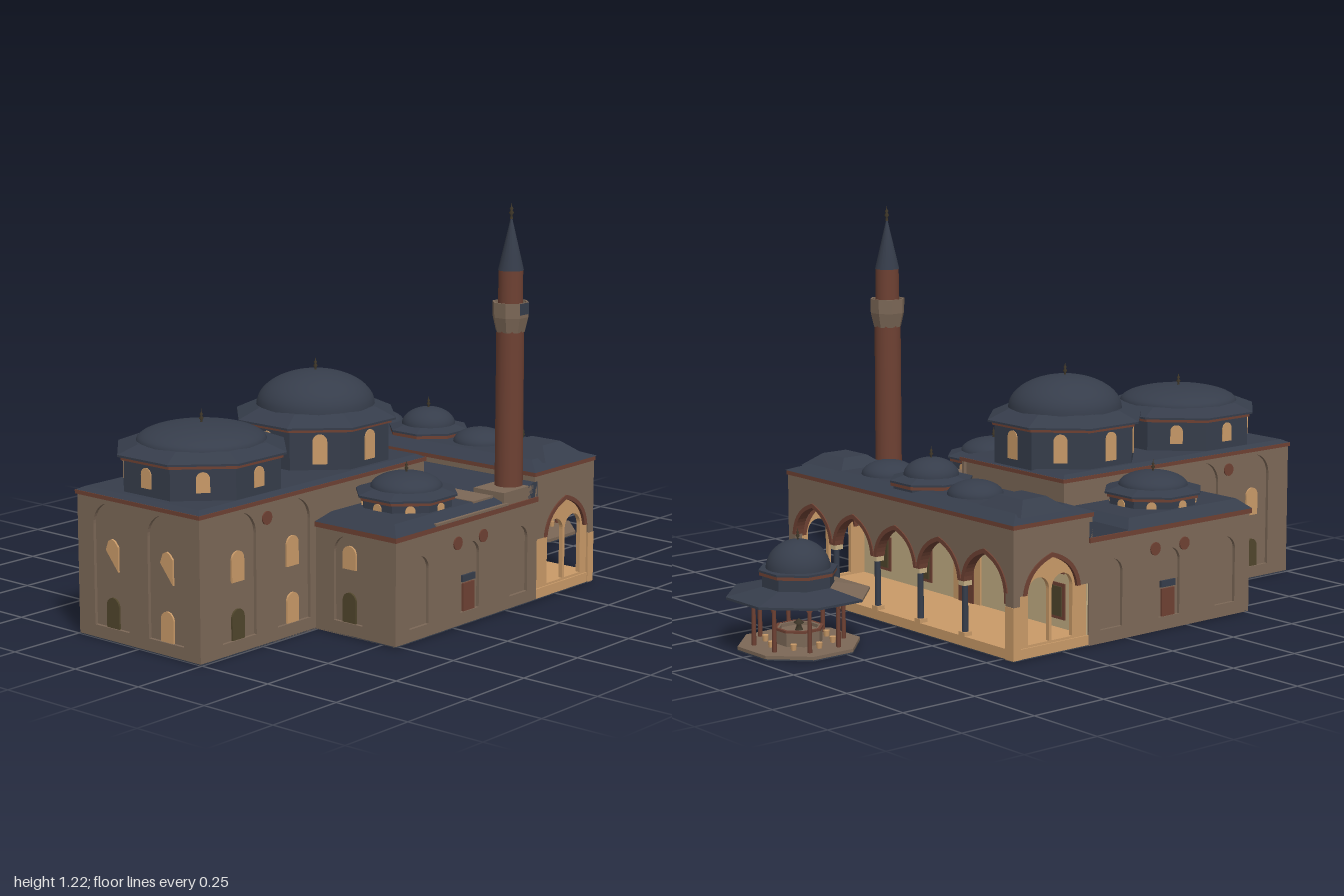
import * as THREE from 'three';

const mat = (name, color, side = THREE.FrontSide) => Object.assign(new THREE.MeshStandardMaterial({ color, side }), { name });

export function createModel() {
  const root = new THREE.Group();
  const M = {
    wall: mat('brown stone', 0x7c6857), slate: mat('lead roof', 0x363d4b),
    brick: mat('red brick', 0x6e4133), tan: mat('light stone', 0xc99a68),
    olive: mat('dark glass', 0x50462c), cream: mat('cream plaster', 0xc4ae84),
    bronze: mat('bronze', 0x40382a),
  };

  const add = (parent, name, geo, m, x = 0, y = 0, z = 0) => {
    const mesh = new THREE.Mesh(geo, m);
    mesh.name = name;
    mesh.position.set(x, y, z);
    parent.add(mesh);
    return mesh;
  };
  const faceted = (geo) => {
    const g = geo.toNonIndexed();
    g.computeVertexNormals();
    return g;
  };
  // box given by its limits
  const box = (parent, name, m, x0, x1, y0, y1, z0, z1) =>
    add(parent, name, new THREE.BoxGeometry(x1 - x0, y1 - y0, z1 - z0), m, (x0 + x1) / 2, (y0 + y1) / 2, (z0 + z1) / 2);
  // hipped roof: a box whose top is drawn in by "inset"
  const hip = (name, x0, x1, y0, y1, z0, z1, inset) => {
    const w = x1 - x0, d = z1 - z0, g = new THREE.BoxGeometry(w, y1 - y0, d), p = g.attributes.position;
    for (let i = 0; i < p.count; i++) if (p.getY(i) > 0) {
      p.setX(i, p.getX(i) * (1 - 2 * inset / w));
      p.setZ(i, p.getZ(i) * (1 - 2 * inset / d));
    }
    return add(root, name, faceted(g), M.slate, (x0 + x1) / 2, (y0 + y1) / 2, (z0 + z1) / 2);
  };
  const lathe = (pts, n, start = 0, len = Math.PI * 2) =>
    new THREE.LatheGeometry(pts.map(([r, y]) => new THREE.Vector2(r, y)), n, start, len);
  // octagon with flat sides to the axes; radii are measured to the flats
  const K = Math.cos(Math.PI / 8);
  const octagon = (pts, first = 0, sides = 8) =>
    faceted(lathe(pts.map(([r, y]) => [r / K, y]), sides, Math.PI / 8 + first * Math.PI / 4, sides * Math.PI / 4));
  const cap = (r, y0, y1) => lathe(Array.from({ length: 13 }, (_, i) => {
    const a = i / 12 * Math.PI / 2;
    return [i === 12 ? 0 : r * Math.cos(a), y0 + (y1 - y0) * Math.sin(a)];
  }), 32);
  const finial = (parent, x, y, z, s = 1) => add(parent, 'finial',
    lathe([[.005, -.005], [.003, .006], [.008, .013], [.003, .02], [.006, .026], [.002, .031], [0, .044]].map(p => [p[0] * s, p[1] * s]), 10), M.bronze, x, y, z);

  const arch = (s, cx, w, y0, y1) => {
    const r = w / 2, sp = y1 - r;
    s.moveTo(cx - r, y0);
    s.lineTo(cx + r, y0);
    s.lineTo(cx + r, sp);
    s.absarc(cx, sp, r, 0, Math.PI, false);
    s.lineTo(cx - r, y0);
    return s;
  };
  const extrude = (s, depth) => new THREE.ExtrudeGeometry(s, { depth, bevelEnabled: false, curveSegments: 10 });
  const archPlate = (parent, name, m, cx, w, y0, y1, z, depth = .006) =>
    add(parent, name, extrude(arch(new THREE.Shape(), cx, w, y0, y1), depth), m, 0, 0, z);
  const rect = (a, b, y0, y1) => new THREE.Shape([[a, y0], [b, y0], [b, y1], [a, y1]].map(p => new THREE.Vector2(...p)));
  const frame = (name, x, z, turn) => {
    const g = new THREE.Group();
    g.name = name;
    g.position.set(x, 0, z);
    g.rotation.y = turn;
    root.add(g);
    return g;
  };
  // wall skin pierced by shallow arched niches: [u, width, top]
  const facade = (g, a, b, h, niches) => {
    const s = rect(a, b, 0, h);
    for (const [u, w, top] of niches) s.holes.push(arch(new THREE.Path(), u, w, .04, top));
    add(g, 'nichedWall', extrude(s, .01), M.wall, 0, 0, -.01);
  };
  const window_ = (g, u, y0, y1, m, w = .05) => archPlate(g, 'window', m, u, w, y0, y1, -.01);
  // half-open shutter of light inside an upper window
  const slantWindow = (g, u) => {
    const s = new THREE.Shape([[-.025, .06], [.025, 0], [.025, .075], [.012, .09], [0, .095], [-.014, .088]].map(p => new THREE.Vector2(u + p[0], .21 + p[1])));
    add(g, 'upperWindow', extrude(s, .006), M.tan, 0, 0, -.01);
  };
  const medallion = (g, u, y) =>
    add(g, 'medallion', new THREE.CylinderGeometry(.02, .02, .008, 16).rotateX(Math.PI / 2), M.brick, u, y, 0);

  // masonry cores and dark underside
  box(root, 'hallCore', M.wall, -.235, .235, .003, .425, .03, .99);
  box(root, 'wingCore', M.wall, -.54, .54, .003, .32, -.15, .505);
  box(root, 'underside', M.slate, -.245, .245, 0, .003, .515, 1);
  box(root, 'underside', M.slate, -.55, .55, 0, .003, -.44, .515);

  // front walls
  const front = frame('hallFront', 0, 1, 0);
  facade(front, -.245, .245, .42, [[-.11, .14, .41], [.11, .14, .41]]);
  for (const s of [-1, 1]) {
    slantWindow(front, s * .11);
    window_(front, s * .11, .04, .13, s < 0 ? M.olive : M.tan);
    const wf = frame('wingFront', 0, .515, 0);
    facade(wf, s > 0 ? .245 : -.55, s > 0 ? .55 : -.245, .31, [[s * .37, .11, .3]]);
    window_(wf, s * .37, .2, .27, s < 0 ? M.olive : M.tan);
    window_(wf, s * .37, .04, .13, s < 0 ? M.tan : M.olive);
  }

  // side walls, local u runs along -z on the +x side and +z on the other
  for (const s of [-1, 1]) {
    const span = (z0, z1) => [-s * z0, -s * z1].sort((p, q) => p - q);
    const hall = frame('hallSide', s * .245, 0, s * Math.PI / 2);
    facade(hall, ...span(.505, 1), .42, [[-s * .84, .14, .41], [-s * .61, .14, .41]]);
    for (const z of [.84, .61]) {
      window_(hall, -s * z, .21, .3, M.tan);
      window_(hall, -s * z, .04, .13, z > .7 ? M.olive : M.tan);
    }
    medallion(hall, -s * .725, .375);
    box(root, 'hallUpperWall', M.wall, s * .24 - .005, s * .24 + .005, .3, .425, .02, .505);

    const wing = frame('wingSide', s * .55, 0, s * Math.PI / 2);
    facade(wing, ...span(-.15, .515), .31, [.41, .175, -.06].map(z => [-s * z, .086, .25]));
    box(wing, 'sideDoor', M.brick, -s * .175 - .026, -s * .175 + .026, .04, .125, -.01, -.003);
    box(wing, 'doorLintel', M.slate, -s * .175 - .03, -s * .175 + .03, .13, .15, -.01, -.003);
    for (const z of [.115, .235]) medallion(wing, -s * z, .255);

    // wing cornice and roof
    const x0 = s > 0 ? .245 : -.555, x1 = s > 0 ? .555 : -.245;
    box(root, 'wingCornice', M.brick, x0, x1, .31, .325, -.15, .52);
    hip('wingRoof', x0, x1, .325, .355, .0, .52, .035);
  }
  box(root, 'barePatch', M.wall, .3, .525, .35, .357, .035, .13);
  box(root, 'barePatch', M.wall, .535, .557, .326, .333, 0, .34);

  // hall cornice and roof
  box(root, 'hallCornice', M.brick, -.25, .25, .42, .432, .015, 1.005);
  hip('hallRoof', -.248, .248, .432, .442, .017, 1.003, .02);

  // lean-to roof between hall and porch
  const lean = new THREE.Shape([[-.03, .32], [.15, .32], [.15, .372], [.13, .372]].map(p => new THREE.Vector2(...p)));
  add(root, 'leanToRoof', extrude(lean, 1.1).rotateY(Math.PI / 2), M.slate, -.55);

  // octagonal drum, brick cornice, eave, dome and finial
  const domeUnit = (name, x, z, y0, y1, ap, eave, r, base, top, win) => {
    const g = frame(name, x, z, 0);
    add(g, 'drum', octagon([[ap, y0], [ap, y1]]), M.slate);
    add(g, 'drumCornice', octagon([[ap, y1], [ap + .008, y1], [ap + .008, y1 + .01]]), M.brick);
    add(g, 'eave', octagon([[ap, y1 + .008], [eave, y1 + .01], [eave, y1 + .016], [r * .97, base + .003], [0, base + .003]]), M.slate);
    add(g, 'dome', cap(r, base, top), M.slate);
    finial(g, 0, top, 0, r > .15 ? .9 : .8);
    if (win) for (let i = 0; i < 8; i++) {
      const f = new THREE.Group();
      f.name = 'drumWindow';
      f.rotation.y = i * Math.PI / 4;
      archPlate(f, 'window', M.tan, 0, win[0], win[1], win[2], ap - .003);
      g.add(f);
    }
  };
  domeUnit('frontDome', 0, .735, .435, .535, .225, .242, .19, .572, .622, [.04, .465, .525]);
  domeUnit('mainDome', 0, .24, .435, .557, .215, .236, .18, .6, .705, [.044, .46, .55]);
  for (const s of [-1, 1]) domeUnit('wingDome', s * .38, .265, .33, .378, .13, .145, .107, .405, .45, [.03, .355, .376]);
  domeUnit('porchDome', 0, -.3, .4, .425, .11, .12, .085, .45, .505);

  // porch arcade: wall over a row of pointed arches
  const pointed = (s, cx, r, sp, rise) => {
    s.lineTo(cx + r, sp);
    s.quadraticCurveTo(cx + r * .9, sp + rise * .75, cx, sp + rise);
    s.quadraticCurveTo(cx - r * .9, sp + rise * .75, cx - r, sp);
  };
  const arcade = (a, b, centres, r, sp, rise, foot) => {
    const s = new THREE.Shape();
    s.moveTo(a, foot);
    s.lineTo(a, .39);
    s.lineTo(b, .39);
    s.lineTo(b, foot);
    const last = centres[0] + r;
    s.lineTo(last, foot);
    for (const c of centres) pointed(s, c, r, sp, rise);
    s.lineTo(centres[centres.length - 1] - r, foot);
    return extrude(s, .025);
  };
  const archRing = (g, c, r, sp, rise, z, depth) => {
    const s = new THREE.Shape(), t = .014;
    s.moveTo(c + r + t, sp);
    s.quadraticCurveTo(c + (r + t) * .9, sp + (rise + t) * .75, c, sp + rise + t);
    s.quadraticCurveTo(c - (r + t) * .9, sp + (rise + t) * .75, c - r - t, sp);
    s.lineTo(c - r, sp);
    s.quadraticCurveTo(c - r * .9, sp + rise * .75, c, sp + rise);
    s.quadraticCurveTo(c + r * .9, sp + rise * .75, c + r, sp);
    add(g, 'archRing', extrude(s, depth), M.brick, 0, 0, z);
  };
  const back = frame('porchFront', 0, -.44, Math.PI);
  const bays = [.42, .21, 0, -.21, -.42];
  add(back, 'arcadeWall', arcade(-.55, .55, bays, .095, .2, .1, 0), M.wall, 0, 0, -.025);
  for (const c of bays) archRing(back, c, .091, .2, .1, -.029, .033);
  for (const c of [-.315, -.105, .105, .315]) {
    add(back, 'column', new THREE.CylinderGeometry(.009, .01, .16, 12), M.slate, c, .115, -.013);
    box(back, 'capital', M.cream, c - .013, c + .013, .185, .2, -.028, .001);
    box(back, 'columnBase', M.tan, c - .014, c + .014, .03, .045, -.028, 0);
  }
  for (const s of [-1, 1]) {
    box(back, 'pierFoot', M.tan, s * .533 - .018, s * .533 + .018, .003, .16, -.027, .002);
    const side = frame('porchSide', s * .55, -.295, s * Math.PI / 2);
    add(side, 'upperWall', arcade(-.145, .145, [0], .1, .19, .1, .19), M.wall, 0, 0, -.025);
    archRing(side, 0, .096, .19, .1, -.027, .031);
    const screen = rect(-.144, .144, .003, .3);
    for (const c of [-.045, .045]) screen.holes.push(arch(new THREE.Path(), c, .08, .04, .235));
    add(side, 'archScreen', extrude(screen, .014), M.tan, 0, 0, -.02);
  }
  box(root, 'porchFloor', M.tan, -.549, .549, .003, .033, -.439, -.15);

  // porch inner wall with door and windows
  const inner = frame('porchInnerWall', 0, -.15, Math.PI);
  box(inner, 'plaster', M.cream, -.545, .545, .03, .39, 0, .006);
  archPlate(inner, 'doorSurround', M.tan, 0, .13, .033, .27, .006, .006);
  box(inner, 'door', M.brick, -.035, .035, .033, .17, .01, .016);
  for (const x of [-.42, -.21, .21, .42]) {
    box(inner, 'windowFrame', M.brick, x - .034, x + .034, .06, .17, .004, .01);
    box(inner, 'window', M.olive, x - .023, x + .023, .07, .16, .008, .014);
    archPlate(inner, 'lunette', M.brick, x, .06, .2, .25, .005, .006);
  }

  // porch roof
  box(root, 'porchCornice', M.brick, -.553, .553, .388, .402, -.443, -.135);
  box(root, 'porchBackWall', M.wall, -.55, .55, .32, .39, -.15, -.138);
  hip('porchRoof', -.557, .557, .402, .424, -.447, -.13, .06);
  for (const s of [-1, 1]) {
    hip('endHip', s * .43 - .105, s * .43 + .105, .415, .455, -.4, -.21, .05);
    add(root, 'smallDome', cap(.085, .422, .467), M.slate, s * .21, 0, -.3);
  }

  // minaret
  const mn = frame('minaret', .49, -.085, 0);
  box(mn, 'plinth', M.wall, -.055, .06, .3, .365, -.045, .1);
  add(mn, 'shaft', lathe([[.043, .3], [.042, .86]], 16), M.brick);
  add(mn, 'balcony', octagon([[.041, .835], [.051, .88], [.052, .925], [.046, .925], [.046, .89], [.036, .89]]), M.wall);
  add(mn, 'balconyPanel', octagon([[.053, .89], [.053, .925]], 1, 2), M.slate);
  add(mn, 'upperShaft', lathe([[.038, .86], [.037, 1.022]], 16), M.brick);
  add(mn, 'spire', lathe([[.03, 1.02], [.039, 1.02], [0, 1.185]], 16), M.slate);
  finial(mn, 0, 1.178, 0, 1);

  // ablution fountain
  const ft = frame('fountain', 0, -.8, 0);
  add(ft, 'baseUnderside', octagon([[0, 0], [.17, 0], [.17, .004]]), M.slate);
  add(ft, 'base', octagon([[.17, .004], [.17, .014], [0, .014]]), M.wall);
  add(ft, 'basin', octagon([[.065, .014], [.065, .06], [.055, .06], [.055, .05], [0, .05]]), M.wall);
  add(ft, 'basinRim', octagon([[.065, .055], [.069, .055], [.069, .062], [.06, .062]]), M.brick);
  add(ft, 'spout', lathe([[.012, .05], [.006, .065], [.016, .072], [0, .085]], 12), M.bronze);
  for (let i = 0; i < 8; i++) {
    const a = (i + .5) * Math.PI / 4, b = i * Math.PI / 4;
    add(ft, 'column', new THREE.CylinderGeometry(.006, .007, .15, 8), M.brick, .135 * Math.sin(a), .089, .135 * Math.cos(a));
    add(ft, 'stool', new THREE.CylinderGeometry(.01, .008, .018, 8), M.tan, .1 * Math.sin(b), .023, .1 * Math.cos(b));
    const bracket = add(ft, 'archBeam', arcadeBeam(), M.brick, .125 * Math.sin(b), 0, .125 * Math.cos(b));
    bracket.rotation.y = b;
  }
  function arcadeBeam() {
    const s = new THREE.Shape();
    s.moveTo(-.052, .125);
    s.quadraticCurveTo(-.045, .15, 0, .152);
    s.quadraticCurveTo(.045, .15, .052, .125);
    s.lineTo(.052, .166);
    s.lineTo(-.052, .166);
    return extrude(s, .006);
  }
  add(ft, 'ceiling', octagon([[0, .166], [.1, .165], [.2, .157]]), M.brick);
  const slope = [[.2, .157], [.2, .164], [.1, .187]];
  add(ft, 'roof', octagon(slope, 1, 5), M.slate);
  add(ft, 'bareRoof', octagon(slope, -2, 3), M.wall);
  domeUnit('fountainDome', 0, -.8, .18, .222, .1, .11, .095, .236, .322);
  return root;
}
